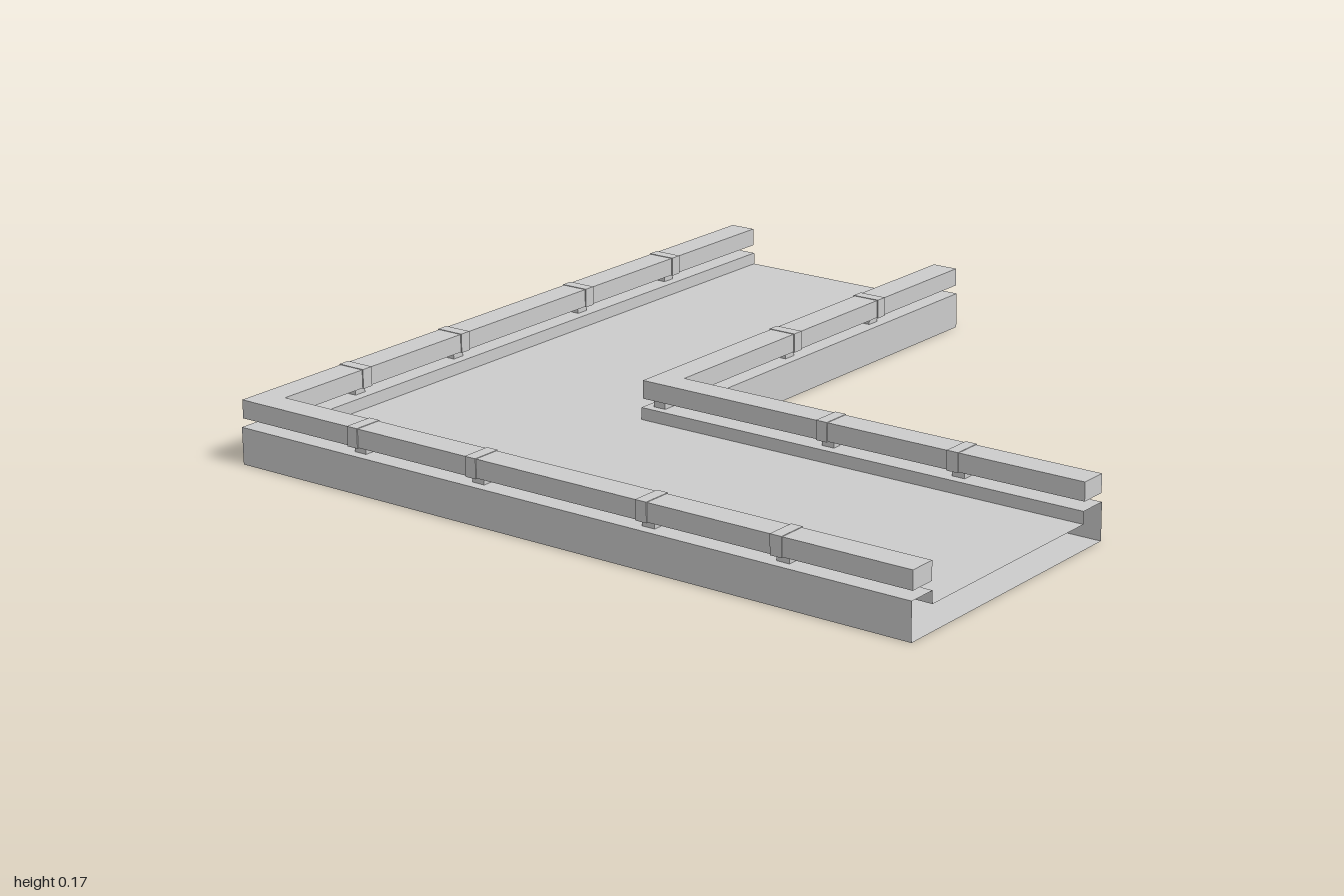
import * as THREE from 'three';

const material = new THREE.MeshStandardMaterial({ color: 0xcccccc, flatShading: true });
const openMaterial = new THREE.MeshStandardMaterial({ color: 0xcccccc, flatShading: true, side: THREE.DoubleSide });

// Sweep a closed [inset, y] profile round the mitred L path; inset is measured from the outer edge.
function sweepL(profile, capped) {
  const stations = [
    ([d, y]) => [-1 + d, y, -1],
    ([d, y]) => [-1 + d, y, 1 - d],
    ([d, y]) => [1, y, 1 - d],
  ].map((place) => profile.map(place));
  const positions = [];
  const quad = (a, b, c, d) => positions.push(...a, ...b, ...c, ...a, ...c, ...d);
  const n = profile.length;
  for (let s = 0; s < 2; s++) {
    for (let i = 0; i < n; i++) {
      const j = (i + 1) % n;
      quad(stations[s][i], stations[s + 1][i], stations[s + 1][j], stations[s][j]);
    }
  }
  if (capped) {
    quad(...stations[0]);
    quad(...[...stations[2]].reverse());
  }
  const geometry = new THREE.BufferGeometry();
  geometry.setAttribute('position', new THREE.Float32BufferAttribute(positions, 3));
  geometry.computeVertexNormals();
  return geometry;
}

const CURB = 0.08, WIDTH = 0.78, FLOOR = 0.065, CURB_TOP = 0.097;
const RAIL_BOTTOM = 0.12, RAIL_TOP = 0.168;

export function createModel() {
  const group = new THREE.Group();
  const add = (name, geometry, mat = material, x = 0, y = 0, z = 0) => {
    const mesh = new THREE.Mesh(geometry, mat);
    mesh.name = name;
    mesh.position.set(x, y, z);
    group.add(mesh);
  };

  // Hollow walkway with raised curbs and open ends
  add('walkway', sweepL([
    [0, 0], [0, CURB_TOP], [CURB, CURB_TOP], [CURB, FLOOR],
    [WIDTH - CURB, FLOOR], [WIDTH - CURB, CURB_TOP], [WIDTH, CURB_TOP], [WIDTH, 0],
  ], false), openMaterial);

  // Rails floating above both curbs
  for (const [name, start] of [['outerRail', 0], ['innerRail', WIDTH - CURB]]) {
    const a = start + 0.003, b = start + CURB - 0.003;
    add(name, sweepL([[a, RAIL_BOTTOM], [a, RAIL_TOP], [b, RAIL_TOP], [b, RAIL_BOTTOM]], true));
  }

  // Short posts under the rails, each with a thin band round the rail
  const postHeight = RAIL_BOTTOM - CURB_TOP + 0.004;
  const postY = (RAIL_BOTTOM + CURB_TOP) / 2;
  const bandHeight = RAIL_TOP - RAIL_BOTTOM + 0.003;
  const bandY = (RAIL_TOP + RAIL_BOTTOM) / 2;
  const support = (x, z, alongX) => {
    const size = (length, h, depth) => new THREE.BoxGeometry(alongX ? length : depth, h, alongX ? depth : length);
    add('post', size(0.036, postHeight, 0.026), material, x, postY, z);
    add('railBand', size(0.032, bandHeight, CURB), material, x, bandY, z);
  };
  for (const t of [-0.63, -0.255, 0.255, 0.635]) {
    support(t, 0.96, true);
    support(-0.96, -t, false);
    if (t > 0) {
      support(t, 0.26, true);
      support(-0.26, -t, false);
    }
  }

  // Corner post below the inner rail
  add('cornerPost', new THREE.BoxGeometry(0.036, postHeight, 0.036), material, -0.26, postY, 0.26);
  return group;
}
